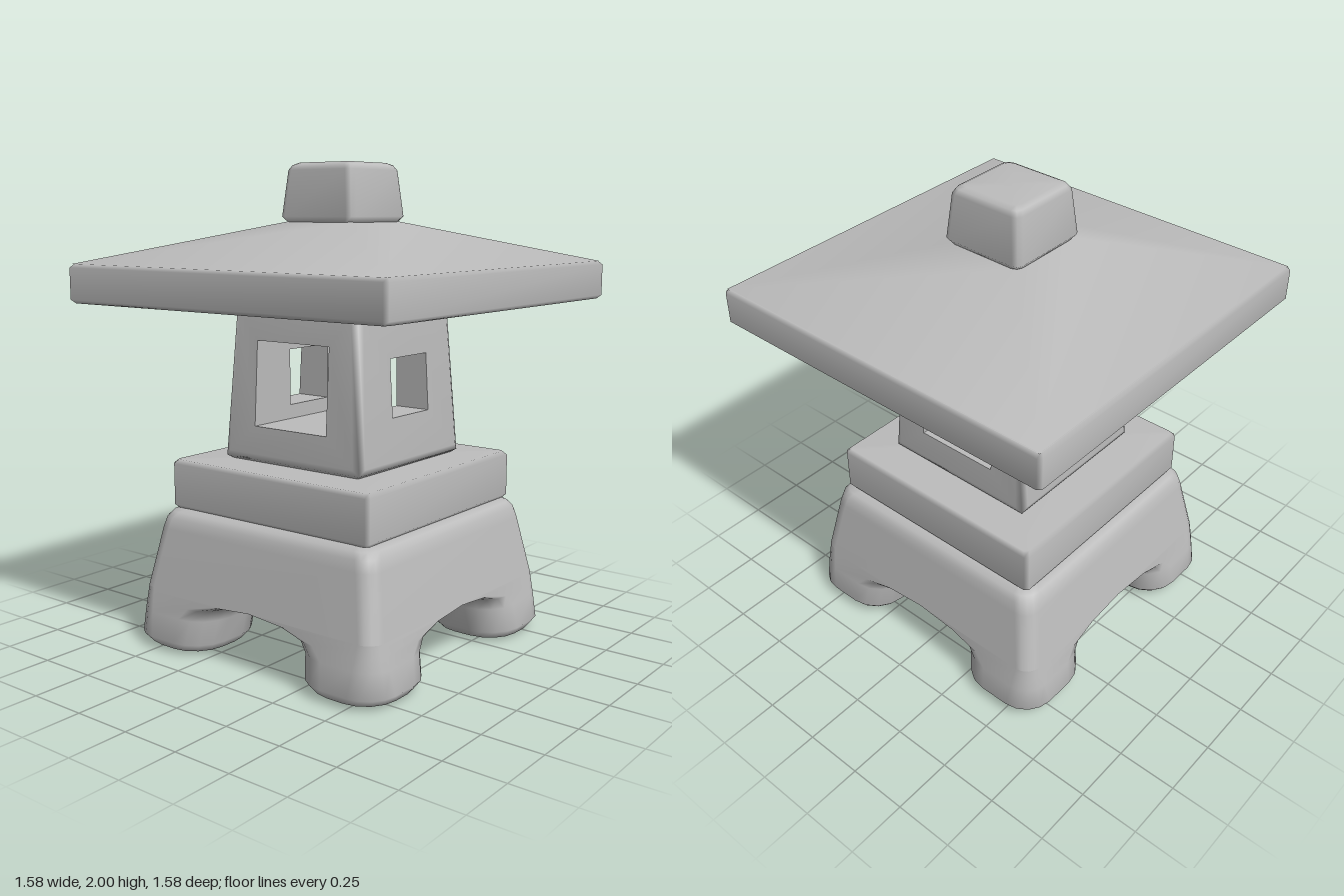
import * as THREE from 'three';
import { mergeGeometries, mergeVertices } from 'three/addons/utils/BufferGeometryUtils.js';

const stone = new THREE.MeshStandardMaterial({ color: 0xbcbcbc });
stone.name = 'stone grey';

// Skin a list of rings (each a list of [x, y, z]), optionally closing the ends
function loft(rings, capStart = false, capEnd = false) {
  const n = rings[0].length, pos = rings.flat(2), index = [];
  for (let i = 0; i < rings.length - 1; i++) {
    for (let j = 0; j < n; j++) {
      const a = i * n + j, b = i * n + (j + 1) % n;
      index.push(a, a + n, b, b, a + n, b + n);
    }
  }
  const cap = (ring, start, flip) => {
    const c = pos.length / 3;
    for (let k = 0; k < 3; k++) pos.push(ring.reduce((s, p) => s + p[k], 0) / n);
    for (let j = 0; j < n; j++) {
      const a = start + j, b = start + (j + 1) % n;
      index.push(c, flip ? b : a, flip ? a : b);
    }
  };
  if (capStart) cap(rings[0], 0, false);
  if (capEnd) cap(rings[rings.length - 1], (rings.length - 1) * n, true);
  const g = new THREE.BufferGeometry();
  g.setAttribute('position', new THREE.Float32BufferAttribute(pos, 3));
  g.setIndex(index);
  g.computeVertexNormals();
  return g;
}

// Horizontal square ring spanning lo..hi in x and z; the outer corner (+x, +z) has its own radius
function squareRing(y, lo, hi, r, rOuter = r, steps = 1) {
  const ring = [];
  [[hi, hi], [lo, hi], [lo, lo], [hi, lo]].forEach(([x, z], q) => {
    const rad = q === 0 ? rOuter : r;
    const cx = x === hi ? hi - rad : lo + rad, cz = z === hi ? hi - rad : lo + rad;
    for (let s = 0; s <= steps; s++) {
      const t = (q + s / steps) * Math.PI / 2;
      ring.push([cx + rad * Math.cos(t), y, cz + rad * Math.sin(t)]);
    }
  });
  return ring;
}

// Centred block from [y, half width] pairs
function block(profile, r, steps = 1, capStart = true, capEnd = true) {
  return loft(profile.map(([y, h]) => squareRing(y, -h, h, r, r, steps)), capStart, capEnd);
}

// Half width of the tapering lamp house at height y
const houseHalf = y => 0.357 - (y - 0.8) * 0.06;

// Upright four-point ring on the +z side; inset pulls it in from the sloping wall
function wallRing(y0, y1, half, depth) {
  return [[-1, y0], [-1, y1], [1, y1], [1, y0]].map(([s, y]) => [s * half(y), y, depth(y)]);
}

export function createModel() {
  const group = new THREE.Group();
  const add = (name, geometry) => {
    const mesh = new THREE.Mesh(geometry, stone);
    mesh.name = name;
    group.add(mesh);
    return mesh;
  };

  // Four soft legs whose inner sides spread into arches: y, inner, outer, inner radius, outer radius
  const legGeometry = loft([
    [0.0, 0.34, 0.55, 0.09, 0.09],
    [0.015, 0.265, 0.62, 0.14, 0.14],
    [0.05, 0.237, 0.643, 0.15, 0.13],
    [0.15, 0.225, 0.625, 0.15, 0.1],
    [0.2, 0.2, 0.615, 0.13, 0.085],
    [0.235, 0.12, 0.608, 0.07, 0.075],
    [0.25, 0, 0.605, 0.001, 0.07],
  ].map(([y, lo, hi, r, ro]) => squareRing(y, lo, hi, r, ro, 4)), true);
  for (let i = 0; i < 4; i++) add('leg', legGeometry).rotation.y = i * Math.PI / 2;

  // Body joining the legs
  add('base', block([[0.25, 0.605], [0.5, 0.558], [0.545, 0.546], [0.57, 0.528], [0.585, 0.495]],
    0.07, 4, false, true));

  // Platform
  add('platform', block([[0.58, 0.495], [0.597, 0.51], [0.77, 0.51], [0.787, 0.495]], 0.015));

  // Lamp house: four sloping walls, with small windows front and back and large ones at the sides
  const inset = k => y => houseHalf(y) - k;
  const frames = [], reveals = [];
  for (let i = 0; i < 4; i++) {
    const small = i % 2 === 0;
    const [w, y0, y1] = small ? [0.125, 1.0, 1.235] : [0.185, 0.94, 1.29];
    const hole = wallRing(y0, y1, () => w, houseHalf);
    const frame = loft([
      wallRing(0.785, 1.445, inset(0.035), inset(0.035)),
      wallRing(0.8, 1.43, inset(0.011), inset(0.011)),
      wallRing(0.825, 1.405, inset(0.035), inset(0)),
      hole,
    ]);
    frame.rotateY(i * Math.PI / 2);
    frame.deleteAttribute('normal');
    frames.push(frame);
    if (small) {
      // Window reveal, then the inner wall of the passage that runs from side to side
      const reveal = loft([
        hole,
        wallRing(y0, y1, () => w, () => 0.185),
        wallRing(0.94, 1.29, houseHalf, () => 0.185),
      ]).toNonIndexed();
      reveal.computeVertexNormals();
      reveal.rotateY(i * Math.PI / 2);
      reveals.push(reveal);
    }
  }
  const walls = mergeVertices(mergeGeometries(frames), 1e-4);
  walls.computeVertexNormals();
  add('lampHouseWalls', walls);
  add('lampHouseInside', mergeGeometries(reveals));
  const slab = (name, y, edge) => {
    add(name, new THREE.BoxGeometry(2 * houseHalf(edge) - 0.002, 0.02, 0.37)).position.y = y;
  };
  slab('lampHouseFloor', 0.93, 0.94);
  slab('lampHouseCeiling', 1.3, 1.31);

  // Roof: bevelled eaves with a softly shaded hipped top
  add('eaves', block([[1.44, 0.775], [1.455, 0.79], [1.583, 0.79], [1.598, 0.776]], 0.015));
  const corners = (y, h) => [[h, y, h], [-h, y, h], [-h, y, -h], [h, y, -h]];
  add('roof', loft([corners(1.597, 0.778), corners(1.765, 0.16)]));

  // Finial
  add('finial', block([[1.757, 0.165], [1.785, 0.186], [1.97, 0.167], [1.99, 0.155], [2.0, 0.135]], 0.03, 2));

  return group;
}
